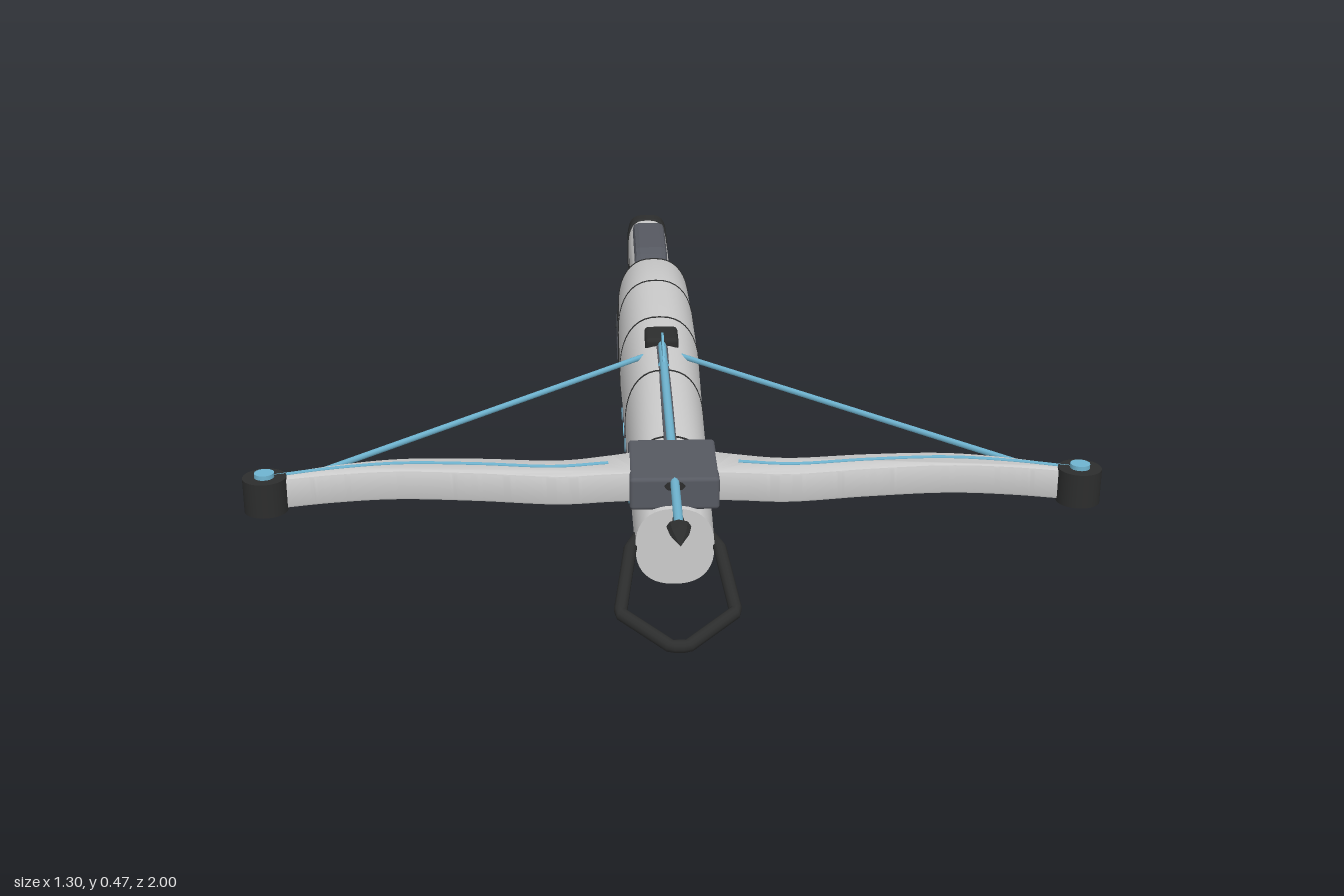
import * as THREE from 'three';
import { toCreasedNormals } from 'three/addons/utils/BufferGeometryUtils.js';
import { RoundedBoxGeometry } from 'three/addons/geometries/RoundedBoxGeometry.js';

const mat = (color) => new THREE.MeshStandardMaterial({ color });
const V = (x, y, z) => new THREE.Vector3(x, y, z);

// Skin through superellipse sections [z, halfWidth, bottom, top], listed front to back
function loft(sections, power = 2.4, n = 40) {
  const pos = [], idx = [];
  const sp = (v) => Math.sign(v) * Math.pow(Math.abs(v), 2 / power);
  for (const [z, w, y0, y1] of sections) {
    for (let j = 0; j < n; j++) {
      const a = (j / n) * Math.PI * 2;
      pos.push(w * sp(Math.cos(a)), (y0 + y1) / 2 + ((y1 - y0) / 2) * sp(Math.sin(a)), z);
    }
  }
  const last = (sections.length - 1) * n;
  const c = pos.length / 3;
  for (const s of [sections[0], sections[sections.length - 1]]) pos.push(0, (s[2] + s[3]) / 2, s[0]);
  for (let j = 0; j < n; j++) {
    const k = (j + 1) % n;
    for (let i = 0; i < last; i += n) {
      idx.push(i + j, i + n + j, i + k, i + k, i + n + j, i + n + k);
    }
    idx.push(c, j, k, c + 1, last + k, last + j);
  }
  const g = new THREE.BufferGeometry();
  g.setAttribute('position', new THREE.Float32BufferAttribute(pos, 3));
  g.setIndex(idx);
  return toCreasedNormals(g, 0.5);
}

// Side profile of [z, y] points, extruded across x with a small bevel
function sideProfile(points, width, bevel) {
  const g = new THREE.ExtrudeGeometry(new THREE.Shape(points.map((p) => new THREE.Vector2(...p))), {
    depth: width - 2 * bevel, bevelThickness: bevel, bevelSize: bevel, bevelOffset: -bevel, bevelSegments: 2,
  });
  return g.translate(0, 0, -width / 2 + bevel).rotateY(-Math.PI / 2);
}

// Chain of straight tubes through the points
function bentTube(points, r, sides = 8) {
  const path = new THREE.CurvePath();
  for (let i = 1; i < points.length; i++) path.add(new THREE.LineCurve3(points[i - 1], points[i]));
  return new THREE.TubeGeometry(path, (points.length - 1) * 12, r, sides);
}

export function createModel() {
  const root = new THREE.Group();
  const grey = mat(0xcccccc), black = mat(0x2c2d2d), slate = mat(0x565961), blue = mat(0x6fb4d0);
  const add = (name, geo, material, x = 0, y = 0, z = 0) => {
    const m = new THREE.Mesh(geo, material);
    m.name = name;
    m.position.set(x, y, z);
    root.add(m);
    return m;
  };
  const box = (w, h, d, r) => new RoundedBoxGeometry(w, h, d, 3, r);

  // Main body
  const body = [
    [0.79, 0.06, 0.27, 0.395], [0.55, 0.064, 0.236, 0.42], [0.28, 0.068, 0.22, 0.43],
    [0, 0.074, 0.21, 0.433], [-0.25, 0.074, 0.21, 0.425], [-0.42, 0.072, 0.213, 0.418],
    [-0.44, 0.067, 0.22, 0.41], [-0.475, 0.044, 0.245, 0.37], [-0.49, 0.038, 0.25, 0.36],
  ];
  add('body', loft(body), grey);
  const sectionAt = (z) => {
    const i = body.findIndex((s, k) => k + 1 < body.length && body[k + 1][0] <= z);
    const a = body[i], b = body[i + 1], t = (z - a[0]) / (b[0] - a[0]);
    return a.map((v, k) => v + (b[k] - v) * t);
  };

  // Panel seams around the body
  for (const z of [0.56, 0.28, 0, -0.25, -0.42]) {
    const [, w, y0, y1] = sectionAt(z);
    const e = 0.0012;
    add('bodySeam', loft([[z + 0.002, w + e, y0 - e, y1 + e], [z - 0.002, w + e, y0 - e, y1 + e]]), black);
  }

  // Row of oval lights through both sides
  for (let i = 0; i < 6; i++) {
    const z = 0.513 - i * 0.0745, w = sectionAt(z)[1];
    const rim = new THREE.CylinderGeometry(1, 1, 2 * w + 0.001, 20).rotateZ(Math.PI / 2).scale(1, 0.016, 0.023);
    const lens = new THREE.CylinderGeometry(1, 1, 2 * w + 0.004, 20).rotateZ(Math.PI / 2).scale(1, 0.011, 0.017);
    add('lightRim', rim, slate, 0, 0.295, z);
    add('sideLight', lens, blue, 0, 0.295, z);
  }

  // Side panels
  add('sidePanel', box(0.152, 0.062, 0.168, 0.004), black, 0, 0.285, -0.317);
  add('sidePanelFace', box(0.155, 0.05, 0.156, 0.004), slate, 0, 0.285, -0.317);
  for (const z of [-0.25, -0.384]) {
    add('panelScrew', new THREE.CylinderGeometry(0.004, 0.004, 0.158, 10).rotateZ(Math.PI / 2), black, 0, 0.285, z);
  }

  // Shoulder stock
  add('stock', loft([
    [-0.47, 0.04, 0.243, 0.364], [-0.6, 0.042, 0.228, 0.36], [-0.8, 0.044, 0.208, 0.354], [-0.97, 0.044, 0.192, 0.346],
  ], 3), grey);
  add('stockSeam', loft([[-0.49, 0.042, 0.239, 0.365], [-0.494, 0.042, 0.239, 0.365]], 3), black);
  add('buttPad', loft([
    [-0.955, 0.042, 0.193, 0.345], [-0.96, 0.046, 0.187, 0.35], [-0.993, 0.046, 0.185, 0.35], [-1, 0.041, 0.191, 0.344],
  ], 3.5), black);
  add('stockSlot', box(0.089, 0.034, 0.285, 0.004), black, 0, 0.277, -0.708);
  add('cheekPad', sideProfile([
    [-0.59, 0.345], [-0.612, 0.37], [-0.64, 0.377], [-0.84, 0.373], [-0.868, 0.366], [-0.885, 0.34],
  ], 0.07, 0.012), slate);

  // Pistol grip with finger ridges
  add('grip', sideProfile([[-0.115, 0.225], [-0.168, 0.012], [-0.262, 0.012], [-0.215, 0.225]], 0.07, 0.01), black);
  for (let i = 0; i < 4; i++) {
    const ridge = add('gripRidge', box(0.058, 0.018, 0.02, 0.006), black, 0, 0.17 - i * 0.033, -0.129 - i * 0.0082);
    ridge.rotation.x = -0.24;
  }
  add('gripBase', box(0.078, 0.02, 0.116, 0.006), slate, 0, 0.01, -0.218);

  // Trigger and guard
  add('triggerGuard', bentTube([V(0, 0.22, 0.005), V(0, 0.14, 0.005), V(0, 0.138, -0.14)], 0.005), black);
  add('trigger', bentTube([V(0, 0.22, -0.085), V(0, 0.19, -0.092), V(0, 0.168, -0.085)], 0.005), black);

  // Underslung module with lights
  add('underModule', sideProfile([
    [0.272, 0.215], [0.278, 0.2], [0.27, 0.155], [0.255, 0.141], [0.085, 0.141], [0.07, 0.155], [0.066, 0.2], [0.072, 0.222],
  ], 0.068, 0.014), slate);
  add('moduleFoot', box(0.04, 0.012, 0.03, 0.004), black, 0, 0.14, 0.235);
  for (const z of [0.218, 0.171, 0.124]) {
    for (const [name, r, w, m] of [['moduleLightRim', 0.018, 0.07, black], ['moduleLight', 0.013, 0.073, blue]]) {
      add(name, new THREE.CylinderGeometry(1, 1, w, 18).rotateZ(Math.PI / 2).scale(1, r, r * 0.8), m, 0, 0.177, z);
    }
  }

  // Bow mount with the bolt opening
  add('bowMount', box(0.136, 0.052, 0.16, 0.006), slate, 0, 0.414, 0.7);
  add('boltOpening', new THREE.CylinderGeometry(1, 1, 0.164, 8).rotateX(Math.PI / 2).scale(0.016, 0.008, 1), black, 0, 0.428, 0.7);

  // Limbs, tips and string
  const centre = [[0.05, 0.705], [0.1, 0.716], [0.18, 0.728], [0.3, 0.714], [0.42, 0.708], [0.52, 0.725], [0.62, 0.757]];
  const half = [0.045, 0.038, 0.033, 0.03, 0.026, 0.02, 0.012];
  for (const s of [1, -1]) {
    const front = centre.map(([x, z], i) => new THREE.Vector2(s * x, z + half[i]));
    const back = centre.map(([x, z], i) => new THREE.Vector2(s * x, z - half[i])).reverse();
    const shape = new THREE.Shape();
    shape.moveTo(front[0].x, front[0].y);
    shape.splineThru(front.slice(1));
    shape.lineTo(back[0].x, back[0].y);
    shape.splineThru(back.slice(1));
    const limb = new THREE.ExtrudeGeometry(shape, {
      depth: 0.04, bevelThickness: 0.004, bevelSize: 0.004, bevelOffset: -0.004, bevelSegments: 2, curveSegments: 30,
    }).rotateX(Math.PI / 2);
    add('limb', toCreasedNormals(limb, 0.6), grey, 0, 0.434, 0);

    // Glowing lines along the limb, above and below
    const curve = new THREE.CatmullRomCurve3(centre.slice(1).map(([x, z]) => V(s * x, 0, z)));
    for (const y of [0.438, 0.39]) {
      add('limbLine', new THREE.TubeGeometry(curve, 40, 0.0035, 6), blue, 0, y, -0.004);
    }
    add('limbTip', new THREE.CylinderGeometry(0.033, 0.033, 0.054, 28), black, s * 0.617, 0.414, 0.757);
    add('tipCore', new THREE.CylinderGeometry(0.015, 0.015, 0.068, 20), blue, s * 0.617, 0.414, 0.757);
    add('string', bentTube([V(s * 0.617, 0.418, 0.757), V(0, 0.418, 0.14)], 0.005), blue);
  }

  // Bolt, its head, fletching, rail and latch
  add('boltRail', box(0.02, 0.02, 0.52, 0.003), slate, 0, 0.417, 0.4).rotation.x = 0.025;
  add('boltShaft', new THREE.CylinderGeometry(0.007, 0.007, 0.81, 12).rotateX(Math.PI / 2), blue, 0, 0.433, 0.525);
  const head = [[0, 0], [0.008, 0.002], [0.009, 0.025], [0.018, 0.032], [0.014, 0.06], [0, 0.1]];
  const headGeo = new THREE.LatheGeometry(head.map((p) => new THREE.Vector2(...p)), 8).rotateX(Math.PI / 2).scale(1, 0.6, 1);
  add('boltHead', toCreasedNormals(headGeo, 0.5), black, 0, 0.431, 0.9);
  for (const turn of [0, 2.1, -2.1]) {
    const fin = add('boltFletching', sideProfile([[0.28, 0], [0.2, 0.033], [0.165, 0.027], [0.175, 0]], 0.004, 0.001), blue, 0, 0.433, 0);
    fin.rotation.z = turn;
  }
  add('latch', box(0.06, 0.034, 0.075, 0.008), black, 0, 0.427, 0.118);

  // Front stirrup
  const right = [V(-0.055, 0.335, 0.76), V(-0.068, 0.33, 0.79), V(-0.085, 0.287, 0.92)];
  const left = right.map((p) => V(-p.x, p.y, p.z)).reverse();
  const loop = [...right, V(-0.012, 0.262, 0.978), V(0.012, 0.262, 0.978), ...left];
  add('stirrup', bentTube(loop, 0.01, 10), black);
  return root;
}
